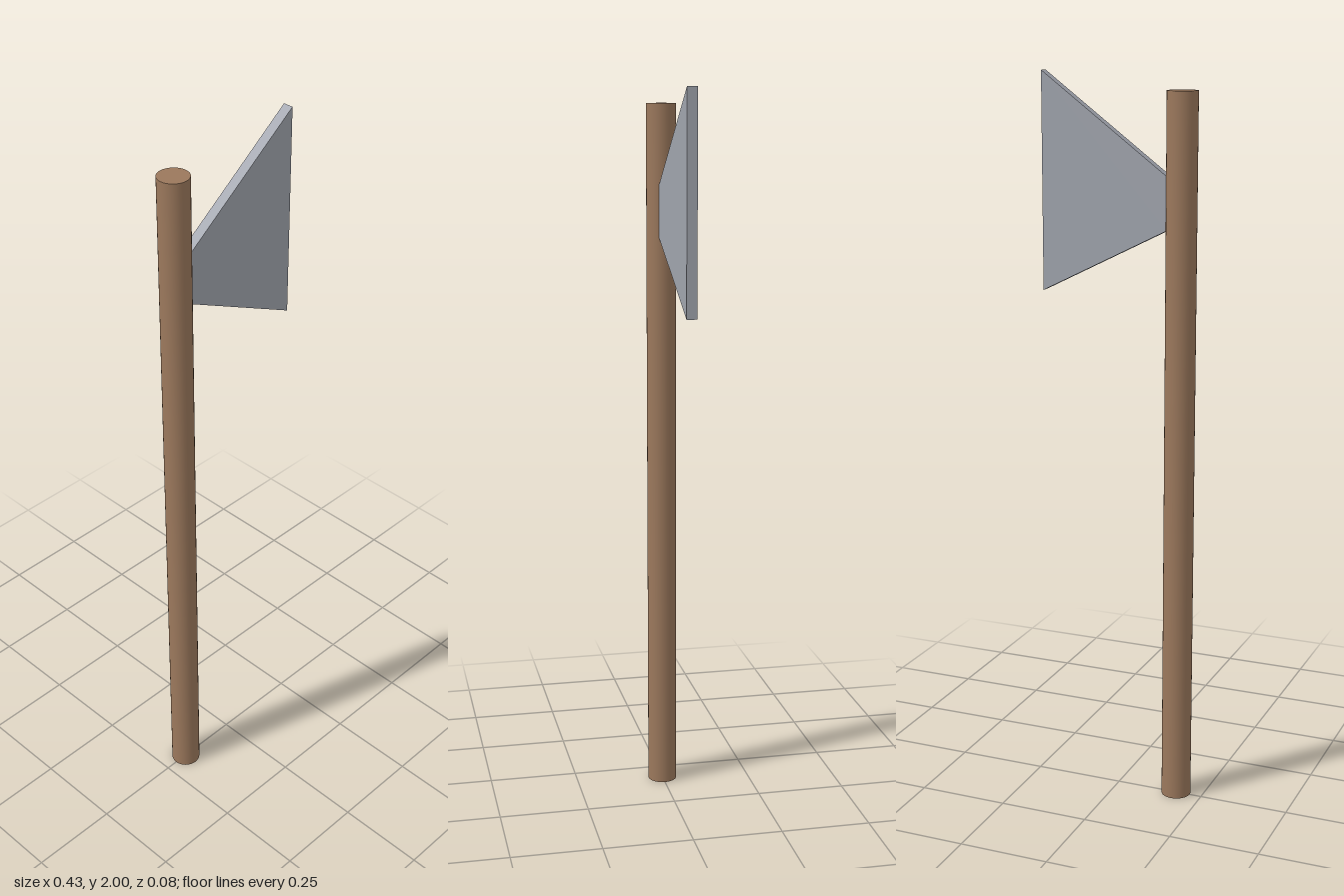
import * as THREE from 'three';

export function createModel() {
  const group = new THREE.Group();
  const wood = new THREE.MeshStandardMaterial({ color: 0x9b785c });
  wood.name = 'wood';
  const steel = new THREE.MeshStandardMaterial({ color: 0xa0a4ad });
  steel.name = 'steel';

  // Straight round handle
  const handle = new THREE.Mesh(new THREE.CylinderGeometry(0.041, 0.041, 1.954, 32), wood);
  handle.name = 'handle';
  handle.position.set(-0.175, 0.977, 0);
  group.add(handle);

  // Flat flared blade, its narrow end set just into the handle
  const outline = new THREE.Shape([
    [-0.14, 1.597], [0.215, 1.42], [0.215, 2], [-0.14, 1.735],
  ].map(([x, y]) => new THREE.Vector2(x, y)));
  const thickness = 0.028;
  const bladeGeometry = new THREE.ExtrudeGeometry(outline, { depth: thickness, bevelEnabled: false });
  bladeGeometry.translate(0, 0, -thickness / 2);
  const blade = new THREE.Mesh(bladeGeometry, steel);
  blade.name = 'blade';
  group.add(blade);

  return group;
}
